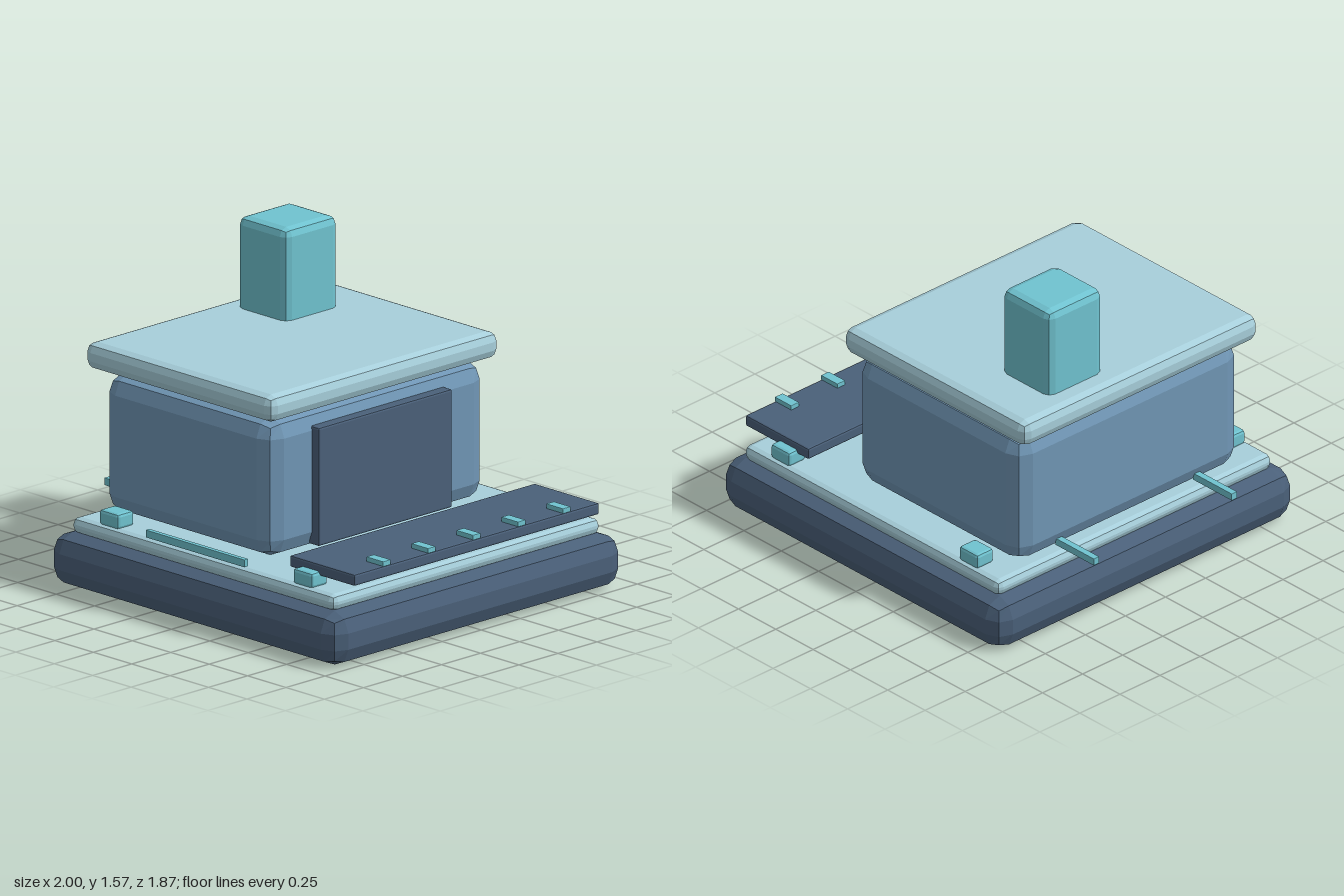
import * as THREE from 'three';
import { RoundedBoxGeometry } from 'three/addons/geometries/RoundedBoxGeometry.js';

const material = (name, color) => {
  const m = new THREE.MeshStandardMaterial({ color });
  m.name = name;
  return m;
};

export function createModel() {
  const navy = material('navy', 0x4a6079);
  const blue = material('slateBlue', 0x7096b5);
  const pale = material('paleBlue', 0xa7cfdb);
  const teal = material('teal', 0x70c3d0);

  const model = new THREE.Group();
  model.name = 'house';

  // Bevelled box given by its extents on each axis; flat facets on the bevels
  const block = (name, mat, [x0, x1], [y0, y1], [z0, z1], bevel) => {
    const geometry = new RoundedBoxGeometry(x1 - x0, y1 - y0, z1 - z0, 1, bevel);
    geometry.computeVertexNormals();
    const mesh = new THREE.Mesh(geometry, mat);
    mesh.name = name;
    mesh.position.set((x0 + x1) / 2, (y0 + y1) / 2, (z0 + z1) / 2);
    model.add(mesh);
  };

  // Plinth and deck
  block('base', navy, [-0.885, 0.995], [0, 0.257], [-0.935, 0.935], 0.09);
  block('deck', pale, [-0.8, 0.91], [0.25, 0.328], [-0.857, 0.857], 0.032);

  // House body, door panel, roof and chimney
  block('walls', blue, [-0.765, 0.335], [0.325, 0.99], [-0.697, 0.697], 0.09);
  block('door', navy, [0.31, 0.378], [0.353, 0.92], [-0.428, 0.428], 0.01);
  block('roof', pale, [-0.842, 0.378], [1.0, 1.13], [-0.735, 0.735], 0.045);
  block('chimney', teal, [-0.727, -0.405], [1.06, 1.568], [-0.472, -0.132], 0.04);

  // Raised porch with slats on its outer edge
  block('porch', navy, [0.55, 0.973], [0.374, 0.43], [-0.785, 0.785], 0.01);
  for (const z of [-0.576, -0.288, 0, 0.288, 0.576]) {
    block('porchSlat', teal, [0.862, 0.973], [0.428, 0.453], [z - 0.025, z + 0.025], 0.004);
  }

  // Small corner blocks on the deck
  for (const x of [-0.575, 0.685]) {
    for (const z of [-0.785, 0.785]) {
      block('cornerBlock', teal, [x - 0.063, x + 0.063], [0.322, 0.396], [z - 0.052, z + 0.052], 0.015);
    }
  }

  // Two rods out of the side wall and a rail along the front
  for (const z of [-0.43, 0.43]) {
    block('sideRod', teal, [-1, -0.74], [0.344, 0.38], [z - 0.017, z + 0.017], 0.003);
  }
  block('frontRail', teal, [-0.267, 0.376], [0.358, 0.395], [0.878, 0.903], 0.003);

  return model;
}
